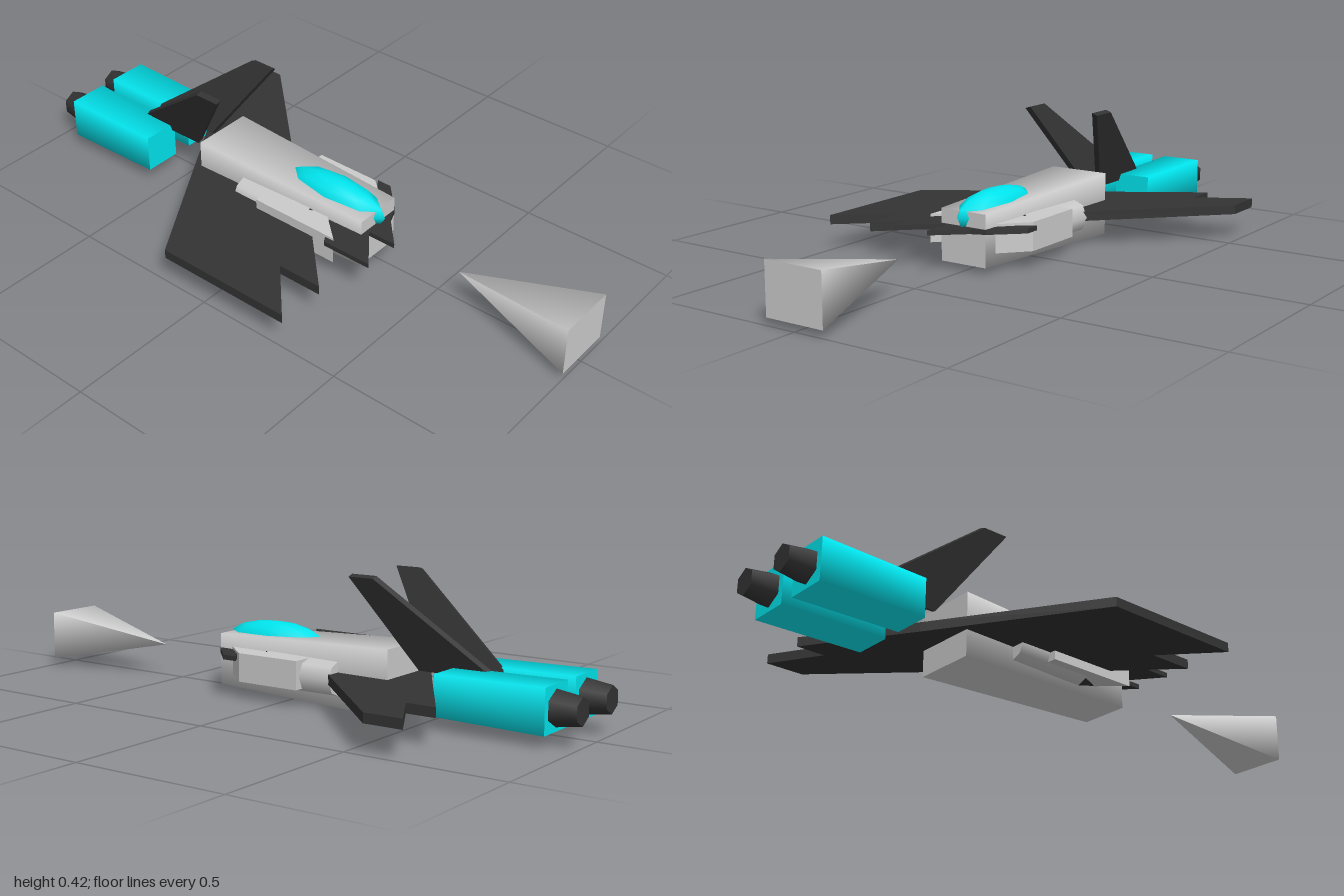
import * as THREE from 'three';

const material = (color) => new THREE.MeshStandardMaterial({ color });

export function createModel() {
  const model = new THREE.Group();
  const grey = material(0xcccccc);
  const dark = material(0x333333);
  const cyan = material(0x00e5ee);

  const add = (name, geometry, mat) => {
    const mesh = new THREE.Mesh(geometry, mat);
    mesh.name = name;
    model.add(mesh);
    return mesh;
  };

  // Tapered prism along z, from zFront (radius rFront) back to zBack
  const prism = (name, mat, sides, rFront, rBack, zFront, zBack, x = 0, y = 0.108) => {
    const g = new THREE.CylinderGeometry(rFront, rBack, zFront - zBack, sides);
    if (sides === 4) g.rotateY(Math.PI / 4);
    g.rotateX(Math.PI / 2);
    const mesh = add(name, g, mat);
    mesh.position.set(x, y, (zFront + zBack) / 2);
    return mesh;
  };

  // Flat slab from a plan outline of [x, z] points
  const slab = (name, mat, points, y, height) => {
    const shape = new THREE.Shape(points.map(([x, z]) => new THREE.Vector2(x, -z)));
    const g = new THREE.ExtrudeGeometry(shape, { depth: height, bevelEnabled: false });
    g.rotateX(-Math.PI / 2);
    add(name, g, mat).position.y = y;
  };

  const R = Math.SQRT2;

  // Square body, and the nose cone standing ahead of it
  prism('fuselage', grey, 4, 0.082 * R, 0.1025 * R, 0.265, -0.38);
  prism('noseCone', grey, 4, 0.1 * R, 0, 1, 0.57).scale.y = 0.8;

  // Canopy
  const canopy = add('canopy', new THREE.SphereGeometry(1, 8, 8), cyan);
  canopy.scale.set(0.065, 0.065, 0.192);
  canopy.position.set(0, 0.17, 0.1);

  // Swept wings with notched edges
  slab('rightWing', dark, [
    [0, -0.47], [-0.495, -0.16], [-0.495, 0.305], [-0.33, 0.155], [-0.33, 0.305], [0, -0.02],
  ], 0.09, 0.03);
  slab('leftWing', dark, [
    [0, -0.47], [0.325, -0.68], [0.325, -0.585], [0.49, -0.68], [0.49, -0.555], [0, -0.05],
  ], 0.09, 0.03);

  // Small foreplanes
  slab('rightCanard', dark, [
    [0, 0.09], [-0.18, 0.2], [-0.18, 0.37], [-0.055, 0.275], [-0.055, 0.37], [0.06, 0.265],
  ], 0.129, 0.015);
  slab('leftCanard', dark, [
    [0, 0.25], [0.175, 0.13], [0.175, 0.18], [0.085, 0.265], [0, 0.3],
  ], 0.129, 0.015);

  for (const side of [-1, 1]) {
    const label = side > 0 ? 'left' : 'right';

    // Slanted intake box, with a duct and dark cone below it
    const inner = side > 0 ? 0.08 : -0.16;
    slab(label + 'Intake', grey, [
      [inner, -0.09], [inner, 0.22], [inner + 0.08, 0.13], [inner + 0.08, -0.09],
    ], 0.062, 0.09);
    prism(label + 'IntakeDuct', grey, 8, 0.055, 0.055, 0.07, -0.2, side * 0.09, 0.1);
    prism(label + 'IntakeCone', dark, 6, 0.04, 0.055, 0.13, 0.07, side * 0.09, 0.1);

    // Engine and nozzle
    prism(label + 'Engine', cyan, 4, 0.062 * R, 0.067 * R, -0.57, -0.92, side * 0.093);
    prism(label + 'Nozzle', dark, 6, 0.054, 0.042, -0.92, -1, side * 0.093);

    // Tail fin, leaning outward
    const fin = new THREE.Shape([[0.45, 0], [0.69, 0], [0.69, 0.015], [0.35, 0.29], [0.265, 0.29]]
      .map(([back, up]) => new THREE.Vector2(back, up)));
    const g = new THREE.ExtrudeGeometry(fin, { depth: 0.02, bevelEnabled: false });
    g.translate(0, 0, -0.01);
    g.rotateY(Math.PI / 2);
    const mesh = add(label + 'TailFin', g, dark);
    mesh.position.set(side * 0.032, 0.15, 0);
    mesh.rotation.z = -side * 0.34;
  }

  return model;
}
